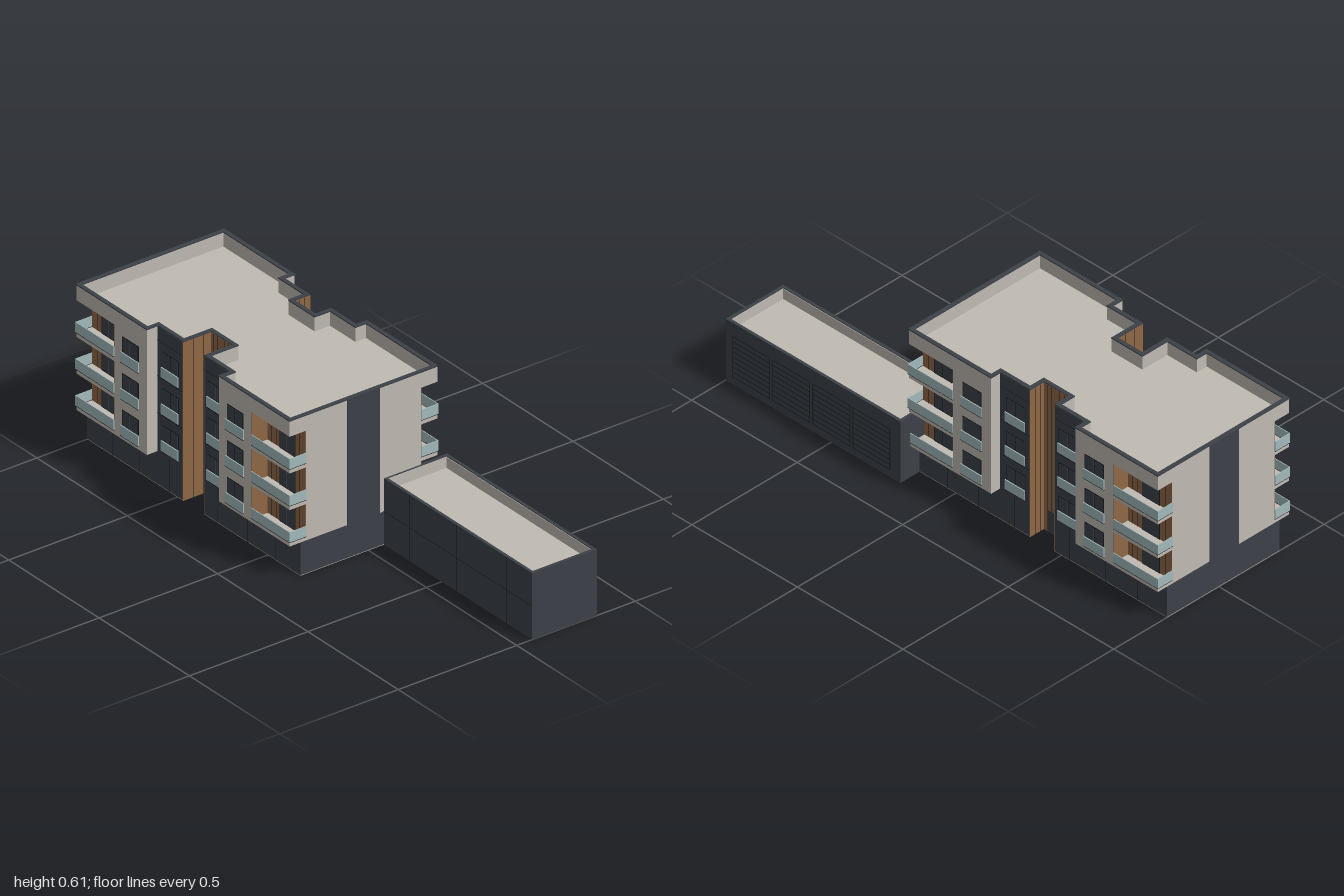
import * as THREE from 'three';

const mat = (name, color, side = THREE.FrontSide) => {
  const m = new THREE.MeshStandardMaterial({ color, side });
  m.name = name;
  return m;
};

export function createModel() {
  const cream = mat('cream render', 0xc0bab2);
  const slate = mat('slate cladding', 0x3c4148);
  const wood = mat('timber cladding', 0x8f6746);
  const glass = mat('balcony glass', 0xa3babc);
  const black = mat('black trim', 0x17191c);

  const model = new THREE.Group();
  model.name = 'apartmentBuilding';

  // Plan of the block: u is the distance from its mirror line at x = CX
  const CX = -0.41, H = 0.59, A = 0.2, B = 0.06, L = 0.38, D = 0.068;
  const BASE = 0.128, TOP = 0.613, ROOF = 0.555;
  const FRONT = { s: 1, zf: 0.333, zr: 0.286, zn: 0.168 };
  const BACK = { s: -1, zf: 0.29, zr: 0.245, zn: 0.18 };
  const floors = [0.143, 0.284, 0.425], OPEN = 0.125;

  const mesh = (name, geo, material, parent = model) => {
    const m = new THREE.Mesh(geo, material);
    m.name = name;
    parent.add(m);
    return m;
  };
  // Box given by its extents
  const block = (name, material, x0, x1, y0, y1, z0, z1, parent = model) => {
    const g = new THREE.BoxGeometry(Math.abs(x1 - x0), y1 - y0, Math.abs(z1 - z0));
    g.translate((x0 + x1) / 2, (y0 + y1) / 2, (z0 + z1) / 2);
    return mesh(name, g, material, parent);
  };
  // Extrude a plan outline (x, z) upwards, with an optional hole
  const rise = (name, material, pts, y0, y1, hole) => {
    const v = (list) => list.map(([x, z]) => new THREE.Vector2(x, -z));
    const shape = new THREE.Shape(v(pts));
    if (hole) shape.holes.push(new THREE.Path(v(hole)));
    const g = new THREE.ExtrudeGeometry(shape, { depth: y1 - y0, bevelEnabled: false });
    g.rotateX(-Math.PI / 2).translate(0, y0, 0);
    return mesh(name, g, material);
  };
  // Mirror a quarter outline of each facade into the whole plan
  const plan = (quarter) => {
    const side = (f, m) => quarter(f).map(([u, z]) => [CX + m * u, f.s * z]);
    return [...side(FRONT, 1), ...side(BACK, 1).reverse(), ...side(BACK, -1), ...side(FRONT, -1).reverse()];
  };
  const full = (t) => plan(({ zf, zr, zn }) => [
    [B + t, zn - t], [B + t, zr - t], [A + t, zr - t], [A + t, zf - t], [H - t, zf - t]]);
  const cut = plan(({ zf, zr, zn }) => [
    [B, zn], [B, zr], [A, zr], [A, zf], [L, zf], [L, zf - D], [H, zf - D]]);
  const foot = plan(({ zr, zn }) => [[B, zn], [B, zr + 0.002], [H, zr + 0.002]]);

  // Ground floor, slabs, storeys with corner loggias, roof and parapet
  rise('groundFloor', slate, foot, 0.002, BASE);
  rise('groundSlab', cream, foot, 0, 0.002);
  let y = BASE;
  for (const f of floors) {
    rise('floorSlab', cream, full(0), y, f);
    rise('storey', cream, cut, f, f + OPEN);
    y = f + OPEN;
  }
  rise('roofSlab', cream, full(0), y, ROOF);
  rise('parapet', cream, full(0), ROOF, TOP - 0.004, full(0.013));
  rise('parapetCap', slate, full(-0.002), TOP - 0.004, TOP, full(0.014));

  // Slate strips on both end walls
  for (const m of [-1, 1])
    block('endStrip', slate, CX + m * (H - 0.002), CX + m * (H + 0.003), BASE, TOP, -0.045, 0.092);

  for (const f of [FRONT, BACK]) for (const m of [-1, 1]) {
    const { s, zf, zr, zn } = f;
    const part = new THREE.Group();
    part.name = s > 0 ? 'frontFacade' : 'backFacade';
    model.add(part);
    const put = (name, material, u0, u1, y0, y1, z0, z1) =>
      block(name, material, CX + m * u0, CX + m * u1, y0, y1, s * z0, s * z1, part);
    const windowAt = (u0, u1, y0, z) => {
      put('windowFrame', black, u0, u1, y0, y0 + 0.1, z, z + 0.002);
      const mid = (u0 + u1) / 2;
      for (const [a, b] of [[u0 + 0.003, mid - 0.0015], [mid + 0.0015, u1 - 0.003]])
        put('windowPane', slate, a, b, y0 + 0.003, y0 + 0.097, z + 0.001, z + 0.003);
    };
    const rail = (name, u0, u1, y0, z0, z1) => {
      put(name, glass, u0, u1, y0 + 0.002, y0 + 0.041, z0, z1);
      put('railEdge', black, u0, u1, y0, y0 + 0.002, z0, z1);
    };

    // Timber entrance notch with board joints
    put('notchBack', wood, 0, B, 0, TOP - 0.004, zn, zn + 0.003);
    put('notchSide', wood, B - 0.003, B, 0, TOP - 0.004, zn, zr + 0.003);
    for (const u of [0.018, 0.04])
      put('boardJoint', black, u, u + 0.0015, 0, TOP - 0.004, zn + 0.002, zn + 0.004);
    for (const q of [0.3, 0.65]) {
      const z = zn + (zr - zn) * q;
      put('boardJoint', black, B - 0.004, B - 0.002, 0, TOP - 0.004, z, z + 0.0015);
    }
    if (m > 0) put('entranceDoor', black, -0.035, 0.035, 0.002, 0.09, zn + 0.003, zn + 0.0045).material = s > 0 ? wood : slate;

    // Slate bay beside the notch
    put('slateBay', slate, B, A, BASE, TOP - 0.004, zr, zr + 0.003);
    for (const h of [0.276, 0.417, 0.556])
      put('panelJoint', black, B, A, h, h + 0.0015, zr + 0.002, zr + 0.0035);

    for (const h of floors) {
      windowAt(0.08, 0.17, h, zr + 0.003);
      rail('windowRail', 0.078, 0.172, h, zr + 0.006, zr + 0.01);
      windowAt(0.245, 0.335, h, zf);
      rail('windowRail', 0.24, 0.34, h, zf + 0.003, zf + 0.007);

      // Corner loggia: timber walls, door, wrapped glass rail
      const zb = zf - D;
      put('loggiaBack', wood, L, H, h, h + OPEN, zb, zb + 0.002);
      put('loggiaSide', wood, L, L + 0.002, h, h + OPEN, zb, zf);
      windowAt(0.45, 0.535, h, zb + 0.002);
      for (const u of [0.405, 0.428, 0.56])
        put('boardJoint', black, u, u + 0.0015, h, h + OPEN, zb + 0.001, zb + 0.003);
      rail('loggiaRail', L, H + 0.003, h, zf, zf + 0.003);
      rail('loggiaSideRail', H, H + 0.003, h, zb, zf);
    }

    // Ground floor panel joints
    for (const u of [0.13, 0.3, 0.45])
      put('panelJoint', black, u, u + 0.0015, 0, BASE, zr + 0.001, zr + 0.003);
  }

  // Low annex: slate shell lined in cream, open underneath
  const X0 = 0.172, X1 = 1, Z0 = -0.338, Z1 = -0.065, HA = 0.255;
  const ring = (t) => [[X0 + t, Z1 - t], [X1 - t, Z1 - t], [X1 - t, Z0 + t], [X0 + t, Z0 + t]];
  rise('annexWalls', slate, ring(0), 0, HA, ring(0.012));
  rise('annexLining', cream, ring(0.012), 0, HA - 0.003, ring(0.014));
  rise('annexRoof', cream, ring(0.013), HA - 0.055, HA - 0.045);

  // Annex panel joints on the front and end
  for (const x of [0.32, 0.58, 0.86])
    block('panelJoint', black, x, x + 0.0015, 0, HA, Z1, Z1 + 0.001);
  block('panelJoint', black, X0, X1, 0.128, 0.1295, Z1, Z1 + 0.001);
  block('panelJoint', black, X1 - 0.001, X1, 0, HA, -0.2, -0.1985);

  // Louvred shutters along the annex back
  for (let i = 0; i < 4; i++) {
    const a = 0.22 + i * 0.19, b = a + 0.175;
    for (const x of [a, b]) block('shutterPost', black, x, x + 0.002, 0.03, 0.2, Z0 - 0.0015, Z0);
    for (let k = 0; k <= 8; k++) {
      const h = 0.03 + k * 0.021;
      block('shutterSlat', black, a, b, h, h + 0.002, Z0 - 0.0015, Z0);
    }
  }
  return model;
}
